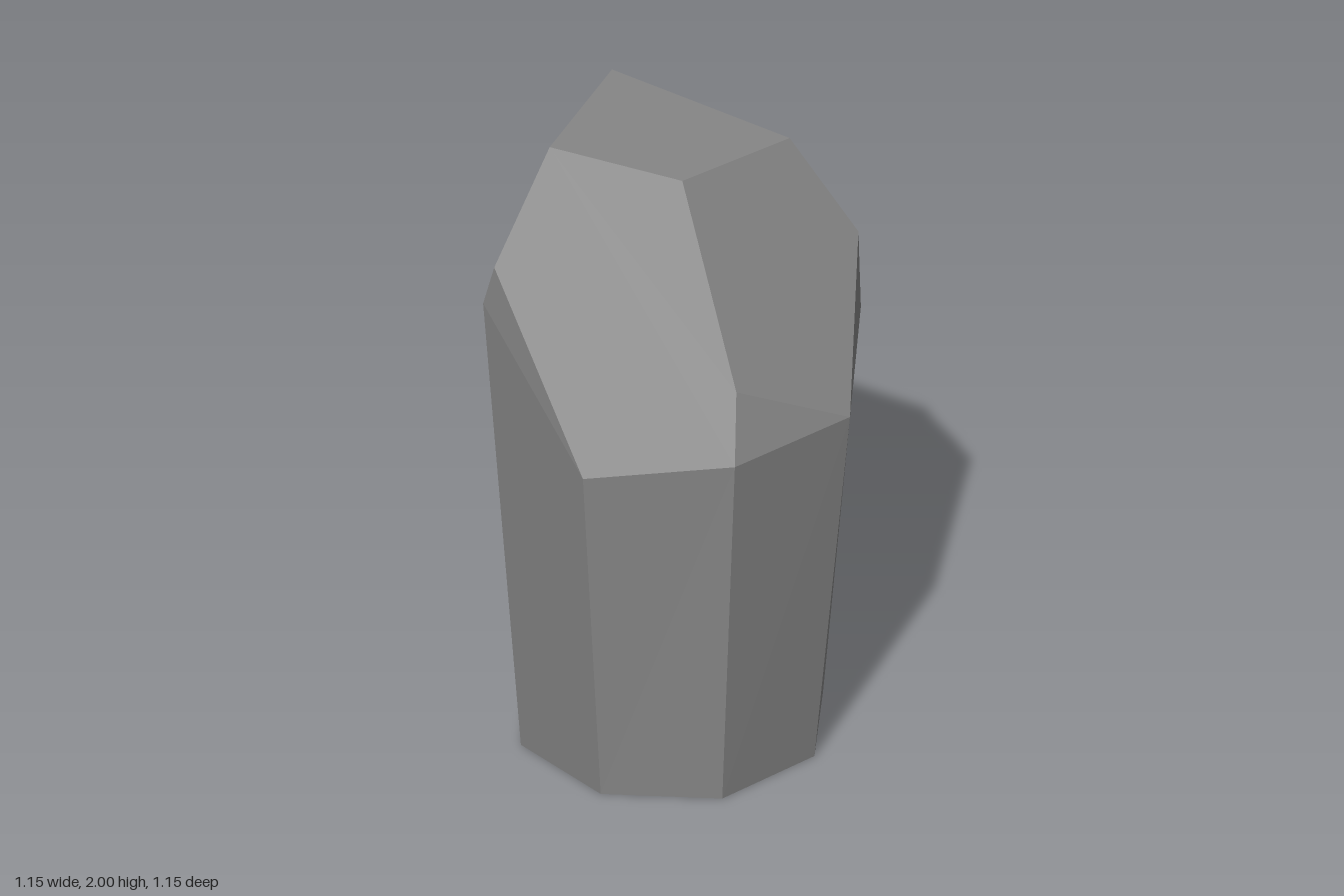
import * as THREE from 'three';

// Flat-faced geometry from convex polygons, each fanned from its first corner
function facets(polygons) {
  const triangles = [];
  for (const p of polygons) {
    for (let i = 1; i < p.length - 1; i++) triangles.push(p[0], p[i], p[i + 1]);
  }
  const geometry = new THREE.BufferGeometry().setFromPoints(triangles);
  geometry.computeVertexNormals();
  return geometry;
}

// Eight-sided ring, counter-clockwise from the front, with a height per corner
function octagon(radius, heights) {
  return heights.map((y, i) => {
    const a = (i * Math.PI) / 4;
    return new THREE.Vector3(radius * Math.sin(a), y, radius * Math.cos(a));
  });
}

export function createModel() {
  const group = new THREE.Group();
  group.name = 'crystal';
  const stone = new THREE.MeshStandardMaterial({ color: 0x888888, flatShading: true });
  stone.name = 'grey stone';

  function add(name, polygons) {
    const mesh = new THREE.Mesh(facets(polygons), stone);
    mesh.name = name;
    group.add(mesh);
  }

  const foot = octagon(0.46, Array(8).fill(0));
  const rim = octagon(0.575, [1.14, 1.2, 1.19, 1.29, 0.51, 1.305, 1.05, 1.53]);

  // Corners of the slanted top
  const v = (x, y, z) => new THREE.Vector3(x, y, z);
  const frontLeft = v(-0.28, 2, 0.23), frontRight = v(0.1, 1.937, 0.133);
  const backRight = v(0.24, 1.89, -0.28), backLeft = v(-0.325, 1.975, -0.262);

  // Lower ends of the ridges between the cut facets
  const ridgeFL = v(-0.362, 1.675, 0.424), ridgeFR = v(0.367, 1.395, 0.318);
  const ridgeBR = v(0.431, 1.59, -0.342), ridgeBL = v(-0.435, 1.6, -0.338);

  // Flaring eight-sided shaft
  add('shaft', foot.map((p, i) => {
    const j = (i + 1) % 8;
    return [p, foot[j], rim[j], rim[i]];
  }));
  add('base', [[...foot].reverse()]);

  // Cut tip: one large facet per side, with small corner facets beside it
  add('topFacet', [[frontLeft, frontRight, backRight, backLeft]]);
  add('frontFacet', [
    [frontLeft, ridgeFL, rim[0], rim[1], ridgeFR, frontRight],
    [ridgeFL, rim[7], rim[0]],
  ]);
  add('rightFacet', [
    [frontRight, ridgeFR, rim[2], ridgeBR, backRight],
    [ridgeFR, rim[1], rim[2]],
    [rim[2], rim[3], ridgeBR],
  ]);
  add('backFacet', [[backRight, ridgeBR, rim[3], rim[4], rim[5], ridgeBL, backLeft]]);
  add('leftFacet', [
    [backLeft, ridgeBL, rim[6], rim[7], ridgeFL, frontLeft],
    [ridgeBL, rim[5], rim[6]],
  ]);
  return group;
}
